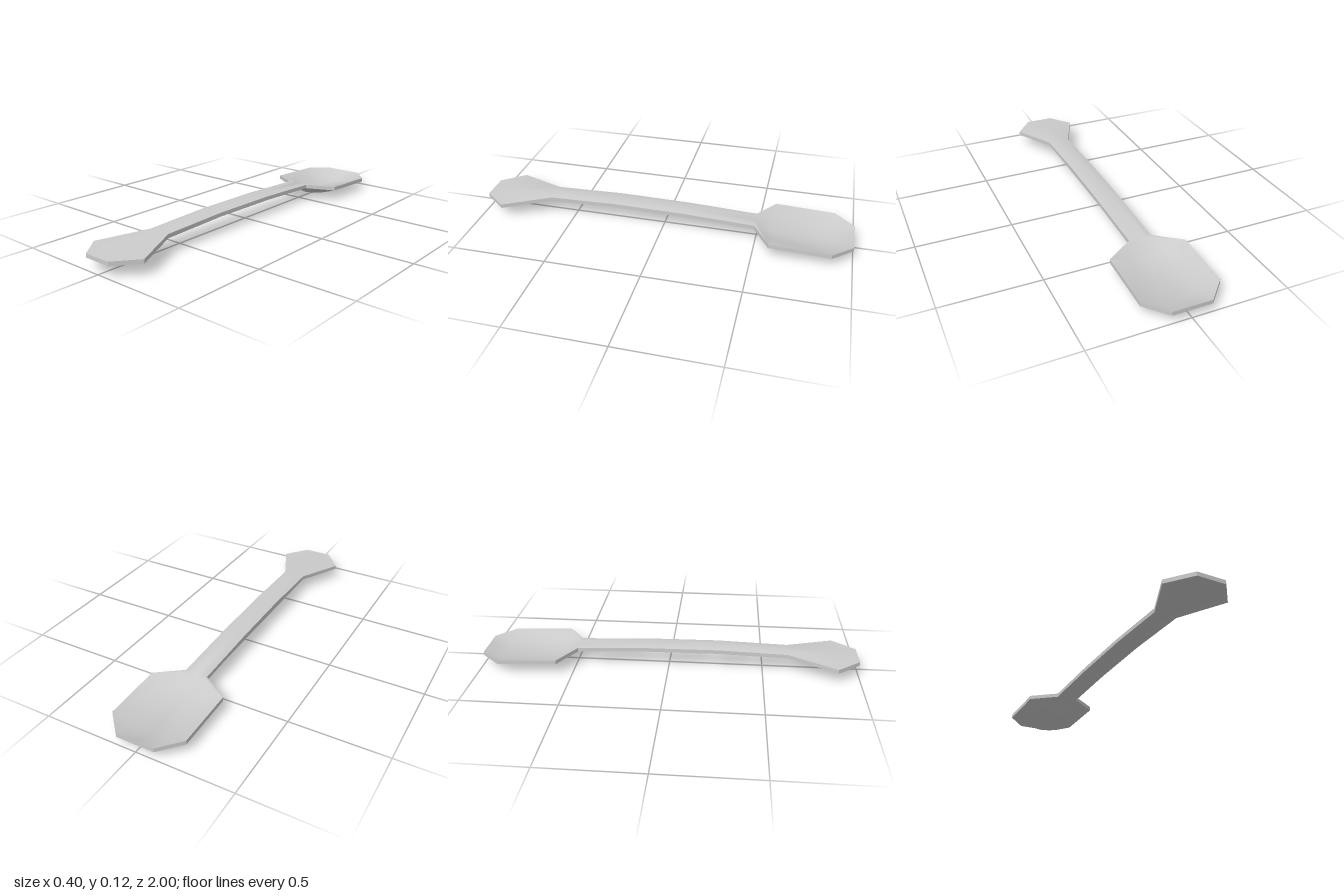
import * as THREE from 'three';
import { toCreasedNormals } from 'three/addons/utils/BufferGeometryUtils.js';

const THICKNESS = 0.021;

// Stations from handle end to bowl tip: z, half width, top height at edge, halfway and centre
const STATIONS = [
  [1.0, 0.075, 0.083, 0.083, 0.083],
  [0.88, 0.172, 0.083, 0.088, 0.088],
  [0.63, 0.06, 0.1, 0.107, 0.107],
  [0.26, 0.06, 0.111, 0.118, 0.118],
  [-0.12, 0.06, 0.107, 0.114, 0.114],
  [-0.49, 0.06, 0.092, 0.095, 0.095],
  [-0.58, 0.2, 0.084, 0.051, 0.036],
  [-0.895, 0.2, 0.071, 0.037, 0.022],
  [-1.0, 0.1, 0.067, 0.067, 0.067],
];

// Closed ring of ten points: underside left to right, then top right to left
function ring([z, w, edge, mid, centre]) {
  const top = [edge, mid, centre, mid, edge].map((y, i) => [w * (i - 2) / 2, y, z]);
  const under = top.map(([x, y]) => [x, y - THICKNESS, z]);
  return [...under, ...top.reverse()];
}

function spoonGeometry() {
  const n = 10;
  const positions = STATIONS.flatMap(ring).flat();
  const index = [];

  // Skin between neighbouring rings, with diagonals mirrored left to right
  for (let s = 0; s < STATIONS.length - 1; s++) {
    for (let j = 0; j < n; j++) {
      const k = (j + 1) % n;
      const a = s * n + j, b = s * n + k, c = b + n, d = a + n;
      if ([0, 1, 7, 8].includes(j)) index.push(a, d, c, a, c, b);
      else index.push(a, d, b, b, d, c);
    }
  }

  // Flat faces at the handle end and the bowl tip
  const last = (STATIONS.length - 1) * n;
  for (let i = 0; i < 4; i++) {
    const [a, b, c, d] = [i, i + 1, 8 - i, 9 - i];
    index.push(a, b, c, a, c, d);
    index.push(last + a, last + c, last + b, last + a, last + d, last + c);
  }

  const geometry = new THREE.BufferGeometry();
  geometry.setAttribute('position', new THREE.Float32BufferAttribute(positions, 3));
  geometry.setIndex(index);
  return toCreasedNormals(geometry, 0.65);
}

export function createModel() {
  const group = new THREE.Group();
  group.name = 'spoon';
  const body = new THREE.Mesh(
    spoonGeometry(),
    new THREE.MeshStandardMaterial({ color: 0xcccccc })
  );
  body.name = 'handleAndBowl';
  group.add(body);
  return group;
}
